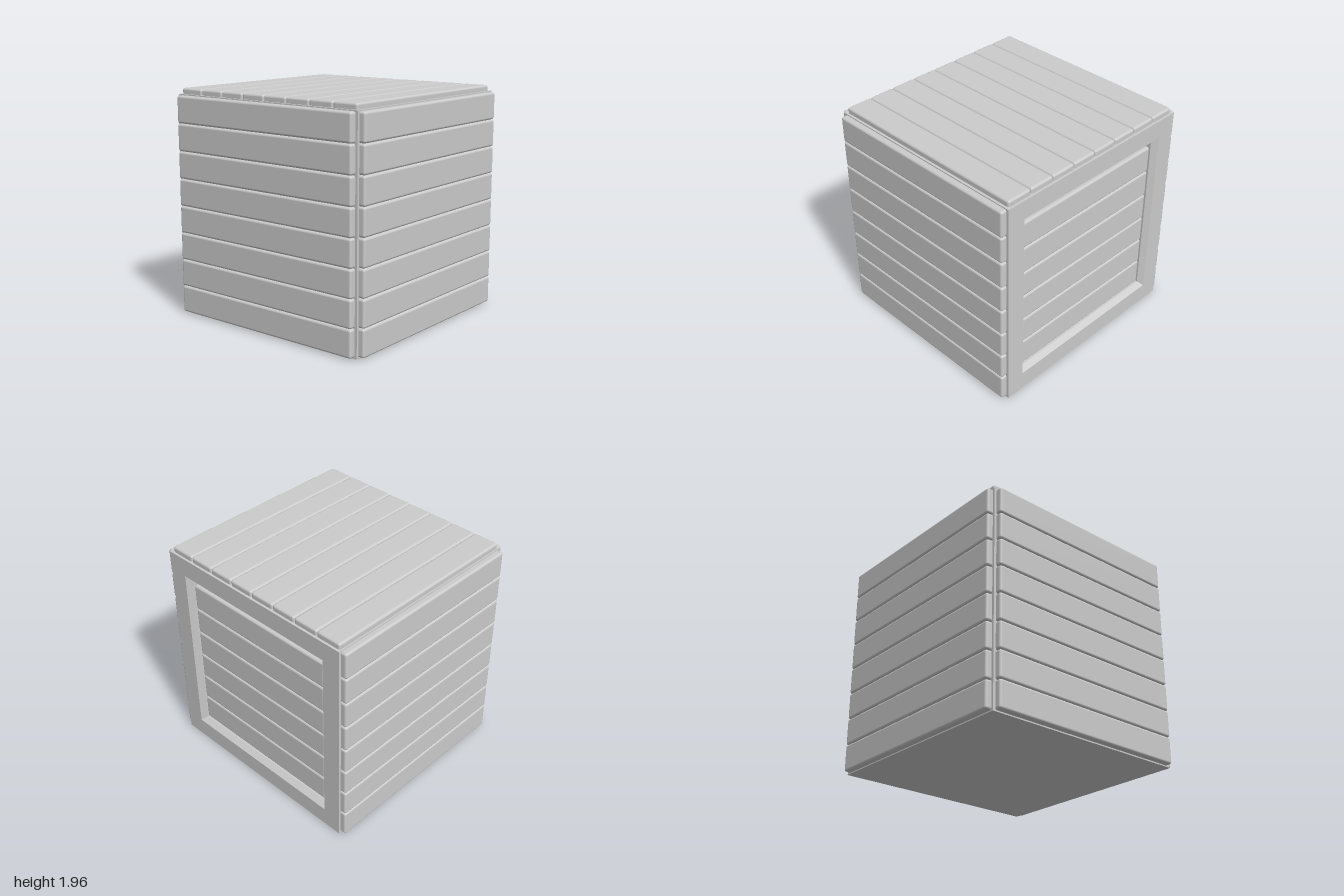
import * as THREE from 'three';
import { RoundedBoxGeometry } from 'three/addons/geometries/RoundedBoxGeometry.js';

const mat = new THREE.MeshStandardMaterial({ color: 0xcccccc });

// Body: half width, height, and depth range
const HALF = 0.948, H = 1.905, BACK = -0.975, FRONT = 0.92;
const MID_Z = (BACK + FRONT) / 2;
// Back recess: frame width, bevel inset and total depth
const RIM = 0.165, BEVEL = 0.04, RECESS = 0.1;

// A row of rounded boards in the local XY plane, stacked along y, outer face at z = 0
function plankRow(name, count, length, from, to) {
  const row = new THREE.Group();
  row.name = name + 'Boards';
  const pitch = (to - from) / count;
  const geo = new RoundedBoxGeometry(length, pitch - 0.002, 0.09, 3, 0.02);
  for (let i = 0; i < count; i++) {
    const plank = new THREE.Mesh(geo, mat);
    plank.name = name + 'Board' + (i + 1);
    plank.position.set(0, from + pitch * (i + 0.5), -0.045);
    row.add(plank);
  }
  return row;
}

// Rectangular rings [inset, depth] joined into a frame with a bevelled opening
function frameGeometry(rings) {
  const corners = rings.map(([inset, depth]) => {
    const x = HALF - inset, z = BACK + depth;
    return [[-x, inset, z], [x, inset, z], [x, H - inset, z], [-x, H - inset, z]];
  });
  const pos = [];
  for (let r = 0; r < rings.length - 1; r++) {
    for (let i = 0; i < 4; i++) {
      const j = (i + 1) % 4, a = corners[r], b = corners[r + 1];
      pos.push(...a[i], ...b[i], ...b[j], ...a[i], ...b[j], ...a[j]);
    }
  }
  const geo = new THREE.BufferGeometry();
  geo.setAttribute('position', new THREE.Float32BufferAttribute(pos, 3));
  geo.computeVertexNormals();
  return geo;
}

export function createModel() {
  const crate = new THREE.Group();
  crate.name = 'plankCrate';

  // Solid body in front of the back recess
  const bodyDepth = FRONT - BACK - RECESS;
  const body = new THREE.Mesh(new THREE.BoxGeometry(2 * HALF, H, bodyDepth), mat);
  body.name = 'body';
  body.position.set(0, H / 2, FRONT - bodyDepth / 2);
  crate.add(body);

  // Back frame: outer edge, flat rim, bevel, then a straight wall down to the panel
  const frame = new THREE.Mesh(frameGeometry([
    [0, RECESS], [0, 0], [RIM, 0], [RIM + BEVEL, 0.045], [RIM + BEVEL, RECESS],
  ]), mat);
  frame.name = 'backFrame';
  crate.add(frame);

  // Front boards
  const front = plankRow('front', 8, 1.855, 0.01, 1.897);
  front.position.z = 0.973;
  crate.add(front);

  // Side boards, mirrored left and right
  for (const [name, s] of [['left', 1], ['right', -1]]) {
    const side = plankRow(name, 8, 1.855, 0.01, 1.897);
    side.rotation.y = s * Math.PI / 2;
    side.position.set(s, 0, MID_Z);
    crate.add(side);
  }

  // Lid boards, running front to back
  const lid = plankRow('lid', 8, 1.855, -0.936, 0.928);
  lid.rotation.set(-Math.PI / 2, 0, Math.PI / 2);
  lid.scale.y = -1;
  lid.position.set(0, 1.955, MID_Z);
  crate.add(lid);

  // Boards set inside the back frame, leaving a slot above them
  const back = plankRow('back', 6, 2 * (HALF - RIM - BEVEL), 0.21, 1.65);
  back.rotation.y = Math.PI;
  back.position.z = BACK + 0.05;
  crate.add(back);

  return crate;
}
